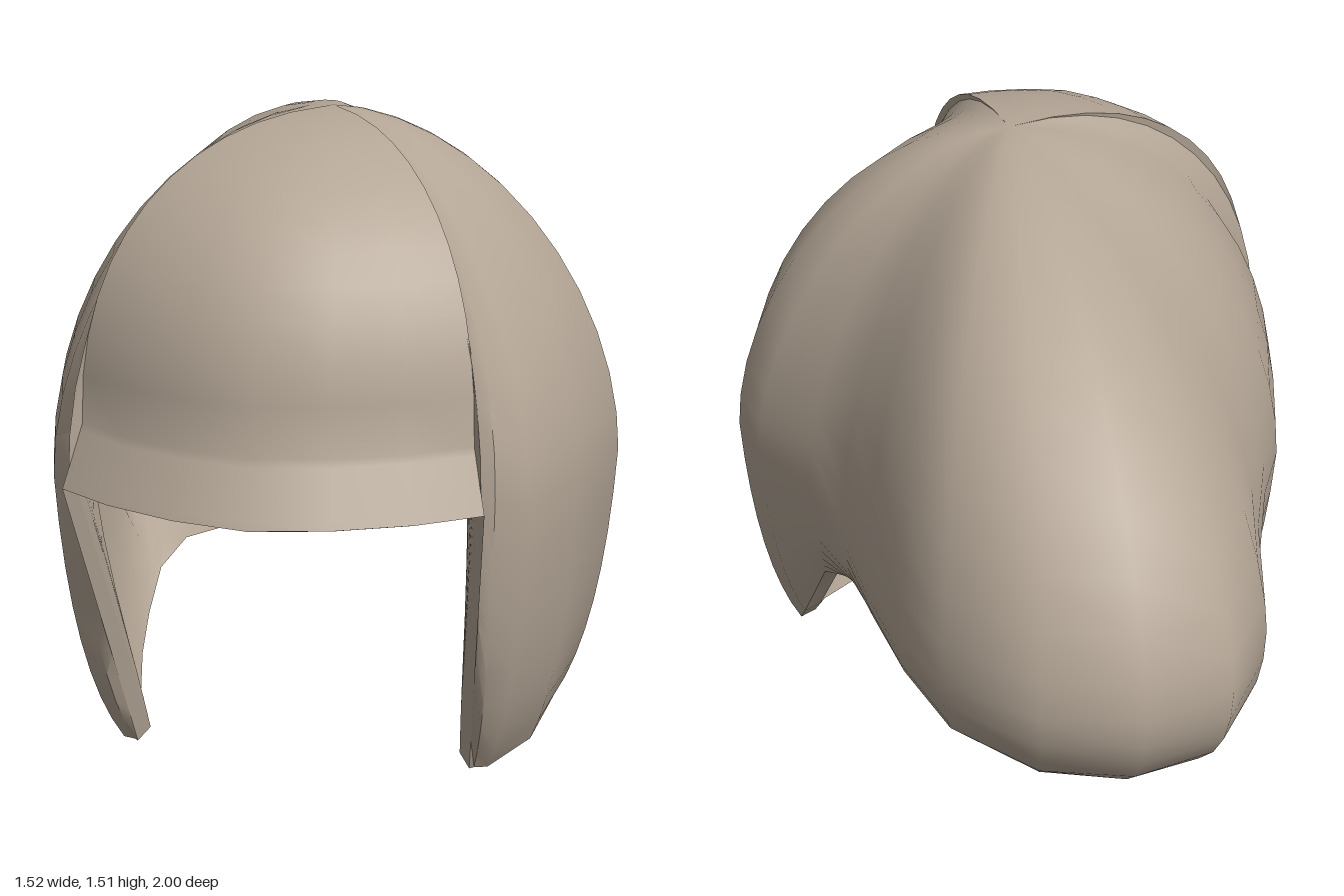
import * as THREE from 'three';
import { toCreasedNormals } from 'three/addons/utils/BufferGeometryUtils.js';

const CROWN = new THREE.Vector3(0.07, 1.51, 0.14);
const HEART = new THREE.Vector3(0.06, 0.45, 0.14);
const MID_X = 0.065;
const THICKNESS = 0.045;
const UPPER = 12, LOWER = 8;

// Each strand: widest point (x, y, z), hem point (x, y, z), leanness of the upper curve.
// The brow flares out to its hem.
const browStrand = (x, z) => [
  THREE.MathUtils.lerp(x, CROWN.x, 0.07), 0.86, THREE.MathUtils.lerp(z, CROWN.z, 0.085),
  x, 0.72, z, 0.86,
];
const brow = [browStrand(0.24, 0.96), browStrand(0.41, 0.88), browStrand(0.545, 0.78)];
// The cheek edge folds back from the brow corner.
const cheekEdge = [
  [0.535, 0.72, 0.765, 0.47, 0, 0.47, 0.92],
  [0.55, 0.72, 0.66, 0.48, 0, 0.46, 1.0],
  [0.62, 0.70, 0.61, 0.51, 0, 0.45, 1.08],
];
const leftSide = [
  [0.70, 0.70, 0.37, 0.59, 0.02, 0.30, 1.08],
  [0.76, 0.70, 0.10, 0.62, 0.06, 0.10, 1.09],
  [0.72, 0.70, -0.08, 0.60, 0.10, -0.02, 1.13],
  [0.62, 0.70, -0.19, 0.54, 0.20, -0.13, 1.17],
  [0.45, 0.70, -0.27, 0.45, 0.38, -0.20, 1.17],
];
const backLobe = [
  [0.31, 0.66, -0.41, 0.32, 0.43, -0.28, 1.12],
  [0.18, 0.64, -0.59, 0.18, 0.42, -0.36, 1.1],
  [0.04, 0.64, -0.77, 0.05, 0.38, -0.41, 1.08],
  [-0.13, 0.64, -0.93, -0.08, 0.33, -0.45, 1.08],
  [-0.38, 0.64, -1.00, -0.20, 0.29, -0.47, 1.1],
  [-0.60, 0.64, -0.93, -0.30, 0.27, -0.47, 1.14],
  [-0.75, 0.64, -0.76, -0.38, 0.26, -0.43, 1.19],
  [-0.76, 0.64, -0.50, -0.46, 0.25, -0.35, 1.23],
];
const rightSide = [
  [-0.68, 0.68, -0.25, -0.50, 0.20, -0.22, 1.19],
  [-0.63, 0.70, 0.00, -0.50, 0.11, -0.09, 1.13],
  [-0.61, 0.70, 0.20, -0.46, 0.07, 0.13, 1.1],
  [-0.55, 0.70, 0.42, -0.41, 0.03, 0.32, 1.08],
];

const mirror = ([x, y, z, hx, ...rest]) => [2 * MID_X - x, y, z, 2 * MID_X - hx, ...rest];
const front = [...brow, ...cheekEdge];
const strands = [
  browStrand(MID_X, 1),
  ...front, ...leftSide, ...backLobe, ...rightSide,
  ...front.map(mirror).reverse(),
];

// Points of one strand: a rounded quarter from the crown, then a curve to the hem.
function strandPoints([x, y, z, hx, hy, hz, power]) {
  const wide = new THREE.Vector3(x, y, z);
  const hem = new THREE.Vector3(hx, hy, hz);
  const points = [];
  for (let j = 0; j <= UPPER; j++) {
    const a = (j / UPPER) * Math.PI / 2;
    const out = Math.pow(Math.sin(a), power);
    const up = j === UPPER ? 0 : Math.pow(Math.cos(a), power);
    points.push(new THREE.Vector3(
      THREE.MathUtils.lerp(CROWN.x, wide.x, out),
      THREE.MathUtils.lerp(wide.y, CROWN.y, up),
      THREE.MathUtils.lerp(CROWN.z, wide.z, out)));
  }
  // The front edges run straight, the sides bulge a little and the lobe is full.
  const bulge = hz >= 0.47 ? 0 : z < -0.4 ? 1 : 0.6;
  const below = new THREE.Vector3(x, THREE.MathUtils.lerp(hem.y, wide.y, 0.15), z);
  const control = wide.clone().lerp(hem, 0.5).lerp(below, bulge);
  const curve = new THREE.QuadraticBezierCurve3(wide, control, hem);
  for (let j = 1; j <= LOWER; j++) points.push(curve.getPoint(j / LOWER));
  return points;
}

// Skins a closed ring of strands, leaving out collapsed triangles.
function skin(rings, inward = false) {
  const pos = [];
  const tri = (a, b, c) => {
    const area = b.clone().sub(a).cross(c.clone().sub(a)).length();
    if (area < 1e-7) return;
    for (const p of inward ? [a, c, b] : [a, b, c]) pos.push(p.x, p.y, p.z);
  };
  rings.forEach((s, i) => {
    const n = rings[(i + 1) % rings.length];
    for (let j = 0; j < s.length - 1; j++) {
      tri(s[j], s[j + 1], n[j + 1]);
      tri(s[j], n[j + 1], n[j]);
    }
  });
  const geometry = new THREE.BufferGeometry();
  geometry.setAttribute('position', new THREE.Float32BufferAttribute(pos, 3));
  return toCreasedNormals(geometry, 0.75);
}

export function createModel() {
  const group = new THREE.Group();
  group.name = 'hairShell';
  const material = new THREE.MeshStandardMaterial({ color: 0xb5a797 });
  material.name = 'warm taupe';

  const outer = strands.map(strandPoints);
  const inner = outer.map(s => s.map(p =>
    p.clone().addScaledVector(HEART.clone().sub(p).normalize(), THICKNESS)));
  const hem = outer.map((s, i) => [s[s.length - 1], inner[i][s.length - 1]]);

  const add = (name, geometry) => {
    const mesh = new THREE.Mesh(geometry, material);
    mesh.name = name;
    group.add(mesh);
  };
  add('outerShell', skin(outer));
  add('innerLining', skin(inner, true));
  add('hem', skin(hem));
  return group;
}
